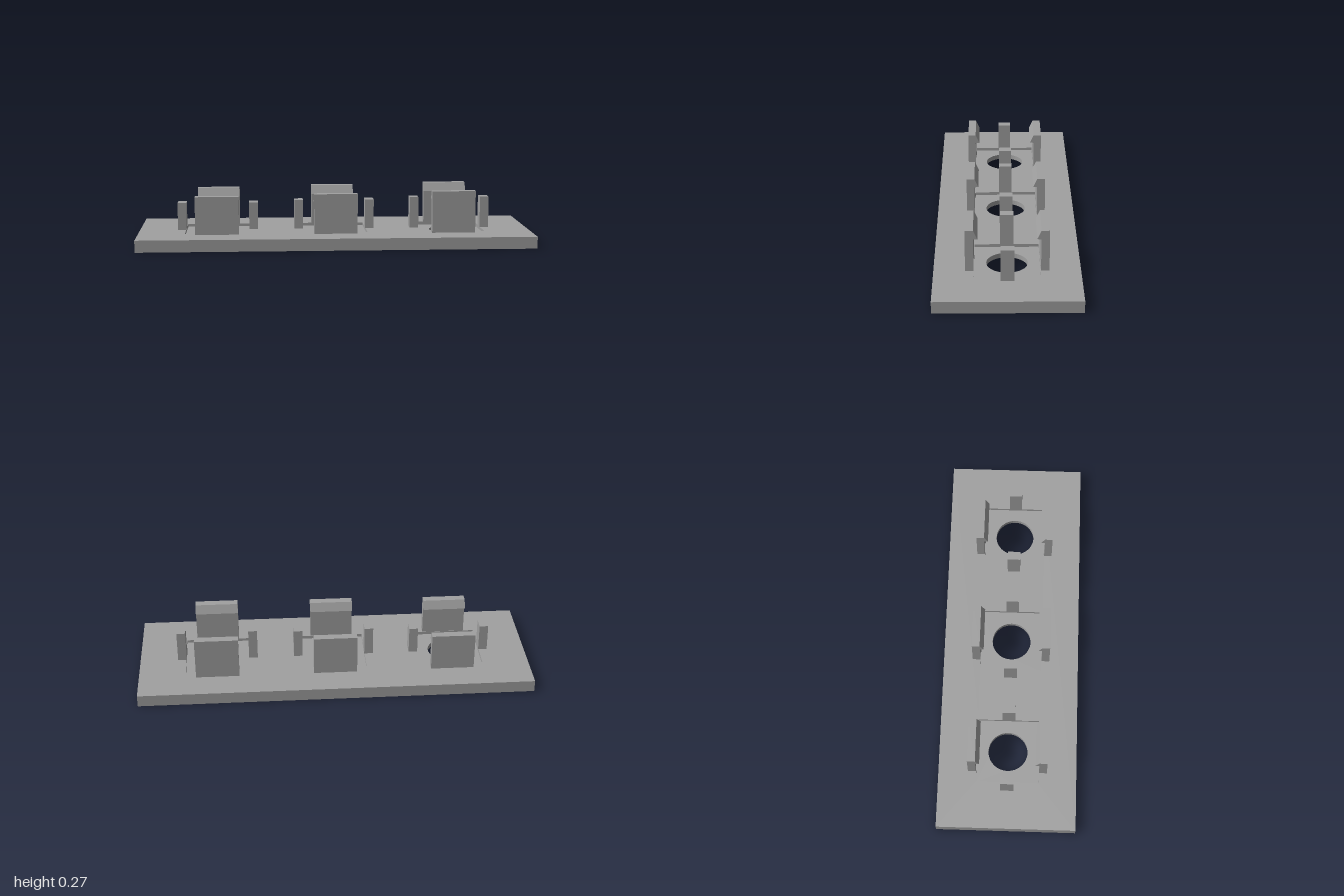
import * as THREE from 'three';
import { mergeGeometries } from 'three/addons/utils/BufferGeometryUtils.js';

const TOP = 0.06, RECESS_Y = 0.045, BORE_Y = 0.02;
const stations = [-0.6, 0, 0.6];

// Outline helpers: loops of points in plan
const rect = (cx, w, d) => [[-w, -d], [w, -d], [w, d], [-w, d]].map(([x, y]) => new THREE.Vector2(cx + x, y));
const circle = (cx, r, n = 48) => Array.from({ length: n }, (_, i) => {
  const a = (i / n) * Math.PI * 2;
  return new THREE.Vector2(cx + r * Math.cos(a), r * Math.sin(a));
});

// Flat horizontal face with holes, facing up or down
function face(outline, holes, y, up) {
  const shape = new THREE.Shape(outline);
  shape.holes = holes.map((h) => new THREE.Path(h));
  return new THREE.ShapeGeometry(shape).rotateX(up ? -Math.PI / 2 : Math.PI / 2)
    .translate(0, y, 0).toNonIndexed();
}

// Vertical wall along a closed loop; inward walls line a hole
function wall(loop, y0, y1, inward) {
  const pos = [], uv = [];
  loop.forEach((p, i) => {
    const q = loop[(i + 1) % loop.length];
    const [a, b] = inward ? [q, p] : [p, q];
    for (const [v, y] of [[a, y0], [b, y0], [b, y1], [a, y0], [b, y1], [a, y1]]) {
      pos.push(v.x, y, -v.y);
      uv.push(0, 0);
    }
  });
  const g = new THREE.BufferGeometry();
  g.setAttribute('position', new THREE.Float32BufferAttribute(pos, 3));
  g.setAttribute('uv', new THREE.Float32BufferAttribute(uv, 2));
  g.computeVertexNormals();
  return g;
}

export function createModel() {
  const group = new THREE.Group();
  const grey = new THREE.MeshStandardMaterial({ color: 0xa0a0a0 });
  grey.name = 'grey plastic';
  const add = (parent, name, geo) => {
    const mesh = new THREE.Mesh(geo, grey);
    mesh.name = name;
    parent.add(mesh);
    return mesh;
  };

  // Base plate: square pockets above, round counterbores below, through holes
  const outer = rect(0, 1, 0.35);
  const pocket = (x) => rect(x, 0.163, 0.158);
  const bore = (x) => circle(x, 0.23);
  const hole = (x) => circle(x, 0.1);
  const parts = [
    face(outer, stations.map(pocket), TOP, true),
    face(outer, stations.map(bore), 0, false),
    wall(outer, 0, TOP, false),
  ];
  for (const x of stations) {
    parts.push(
      face(pocket(x), [hole(x)], RECESS_Y, true),
      face(bore(x), [hole(x)], BORE_Y, false),
      wall(pocket(x), RECESS_Y, TOP, true),
      wall(hole(x), BORE_Y, RECESS_Y, true),
      wall(bore(x), 0, BORE_Y, true),
    );
  }
  add(group, 'basePlate', mergeGeometries(parts));

  // Each station: two hooked clips and two guide posts, rising slightly along x
  stations.forEach((x, i) => {
    const station = new THREE.Group();
    station.name = 'clipStation' + (i + 1);
    station.position.x = x;
    group.add(station);
    const rise = i * 0.01;

    // Clip profile: plain outside face, wedge-shaped hook inside
    const profile = new THREE.Shape([
      [0.16, TOP], [0.2, TOP], [0.2, 0.252 + rise], [0.16, 0.252 + rise],
      [0.14, 0.208 + rise], [0.16, 0.207 + rise],
    ].map(([z, y]) => new THREE.Vector2(z, y)));
    const clip = new THREE.ExtrudeGeometry(profile, { depth: 0.22, bevelEnabled: false })
      .translate(0, 0, -0.11).rotateY(-Math.PI / 2);
    add(station, 'frontClip', clip);
    add(station, 'backClip', clip).rotation.y = Math.PI;

    // Guide posts
    const h = 0.2 + rise - TOP;
    for (const s of [-1, 1]) {
      const post = add(station, s > 0 ? 'leftPost' : 'rightPost', new THREE.BoxGeometry(0.045, h, 0.066));
      post.position.set(s * 0.1835, TOP + h / 2, 0);
    }
  });
  return group;
}
